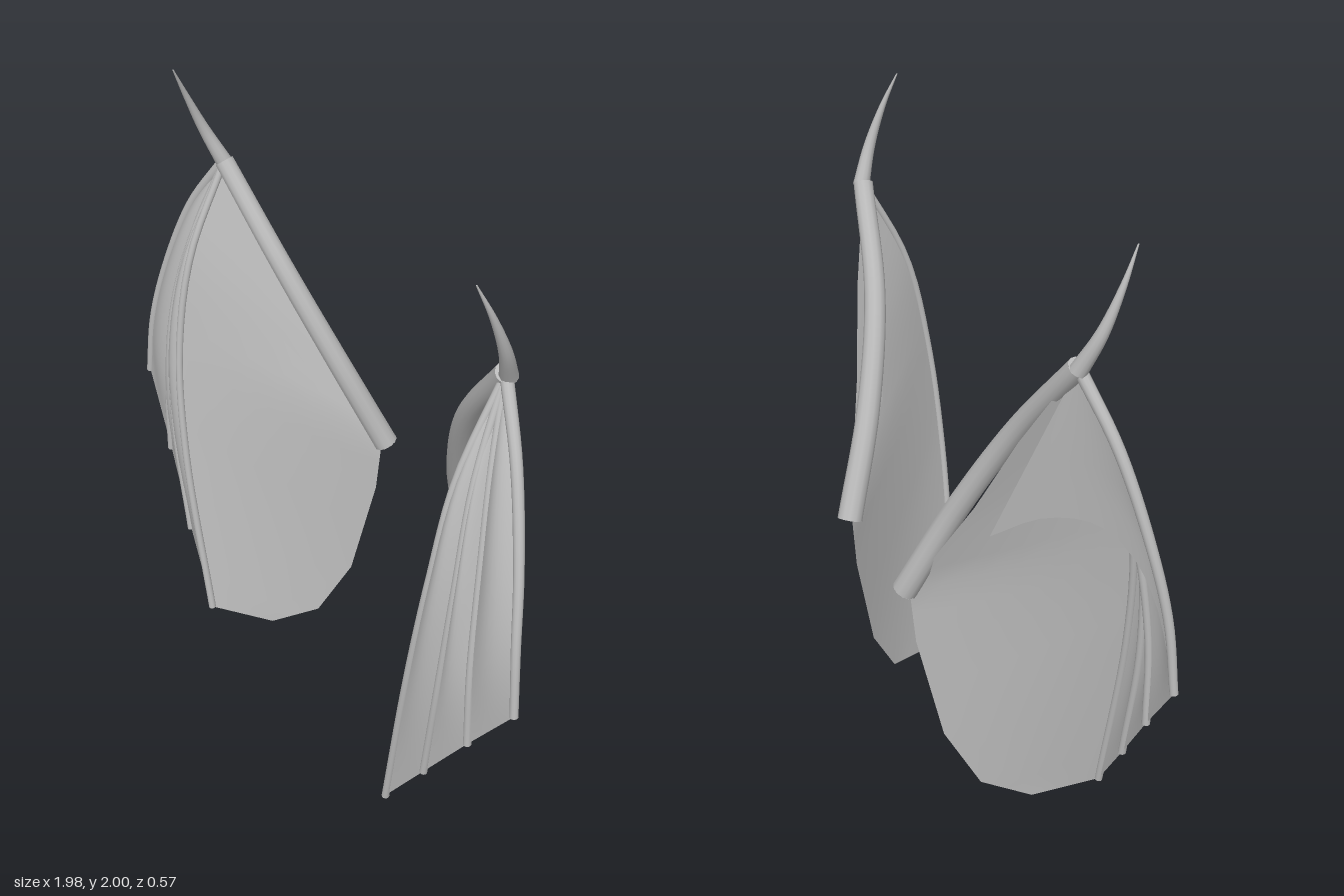
import * as THREE from 'three';

const skin = new THREE.MeshStandardMaterial({ color: 0xbababa, side: THREE.DoubleSide });
skin.name = 'greySkin';

const APEX = [0.675, 1.68, 0.03];
const ARM = [[0.207, 0.78, -0.245], [0.315, 1.1, -0.125], [0.465, 1.4, -0.03], APEX];
const CLAW = [[0.68, 1.67, 0.025], [0.713, 1.78, 0.07], [0.718, 1.9, 0.12], [0.705, 2.0, 0.165]];

// Finger bones, outermost first
const FINGERS = [
  [APEX, [0.8, 1.49, 0.085], [0.9, 1.23, 0.14], [0.95, 1.02, 0.175], [0.98, 0.8, 0.19]],
  [APEX, [0.735, 1.45, 0.11], [0.785, 1.17, 0.17], [0.815, 0.85, 0.21], [0.825, 0.57, 0.215]],
  [APEX, [0.715, 1.4, 0.15], [0.74, 1.1, 0.215], [0.725, 0.75, 0.245], [0.67, 0.33, 0.245]],
  [APEX, [0.67, 1.4, 0.17], [0.66, 1.08, 0.24], [0.615, 0.7, 0.27], [0.515, 0.09, 0.268]],
];

// Free edge of the large inner membrane, from the wing tip down to the lowest corner
const INNER_EDGE = [
  APEX, [0.535, 1.41, -0.058], [0.41, 1.15, -0.122], [0.315, 0.97, -0.18], [0.215, 0.78, -0.235],
  [0.225, 0.59, -0.22], [0.27, 0.24, -0.15], [0.33, 0.05, -0.05], [0.41, 0.005, 0.09],
];

// Arched lower edge of the rear membrane, from outer finger tip inward
const REAR_ARCH = [
  [0.98, 0.8, 0.19], [0.9, 1.05, 0.165], [0.82, 1.17, 0.13],
  [0.72, 1.22, 0.08], [0.58, 1.18, 0.0], [0.45, 1.07, -0.095],
];

const vec = (p) => new THREE.Vector3(...p);
const curveOf = (points) => new THREE.CatmullRomCurve3(points.map(vec));

// Surface from a rule at(u, v) -> Vector3
function sheet(name, cols, rows, side, at) {
  const position = [], index = [];
  for (let j = 0; j <= rows; j++) {
    for (let i = 0; i <= cols; i++) {
      const p = at(i / cols, j / rows);
      position.push(p.x * side, p.y, p.z);
      if (i < cols && j < rows) {
        const a = j * (cols + 1) + i, b = a + cols + 1;
        index.push(a, b, a + 1, b, b + 1, a + 1);
      }
    }
  }
  const geometry = new THREE.BufferGeometry();
  geometry.setAttribute('position', new THREE.Float32BufferAttribute(position, 3));
  geometry.setIndex(index);
  geometry.computeVertexNormals();
  const mesh = new THREE.Mesh(geometry, skin);
  mesh.name = name;
  return mesh;
}

// Round bone that tapers from r0 to r1, with flat ends
function bone(name, points, side, r0, r1, segments = 24, sides = 12) {
  const curve = curveOf(points.map(([x, y, z]) => [x * side, y, z]));
  const geometry = new THREE.TubeGeometry(curve, segments, 1, sides);
  const pos = geometry.attributes.position;
  const p = new THREE.Vector3();
  for (let k = 0; k < pos.count; k++) {
    const t = Math.floor(k / (sides + 1)) / segments;
    const centre = curve.getPointAt(t);
    p.fromBufferAttribute(pos, k).sub(centre).multiplyScalar(r0 + (r1 - r0) * t).add(centre);
    pos.setXYZ(k, p.x, p.y, p.z);
  }
  const group = new THREE.Group();
  group.name = name;
  const shaft = new THREE.Mesh(geometry, skin);
  shaft.name = name + 'Shaft';
  group.add(shaft);
  for (const [t, r, dir] of [[0, r0, -1], [1, r1, 1]]) {
    const cap = new THREE.Mesh(new THREE.CircleGeometry(r, sides), skin);
    cap.name = name + 'End';
    cap.position.copy(curve.getPointAt(t));
    const normal = curve.getTangentAt(t).multiplyScalar(dir);
    cap.quaternion.setFromUnitVectors(new THREE.Vector3(0, 0, 1), normal);
    group.add(cap);
  }
  return group;
}

function wing(name, side) {
  const group = new THREE.Group();
  group.name = name;
  const curves = FINGERS.map(curveOf);

  // Bones and claw
  group.add(bone('arm', ARM, side, 0.039, 0.03));
  group.add(bone('claw', CLAW, side, 0.026, 0.002));
  FINGERS.forEach((f, i) => group.add(bone('finger' + (i + 1), f, side, i ? 0.011 : 0.018, 0.012)));

  // Membranes between neighbouring fingers, billowing mid-length with straight lower edges
  for (let i = 0; i < 3; i++) {
    group.add(sheet('fingerMembrane' + (i + 1), 8, 20, side, (u, v) => {
      const p = curves[i].getPoint(v).lerp(curves[i + 1].getPoint(v), u);
      p.z += 0.025 * Math.sin(Math.PI * u) * Math.sin(Math.PI * v);
      return p;
    }));
  }

  // Large membrane between the last finger and the arm
  const n = INNER_EDGE.length - 1;
  group.add(sheet('innerMembrane', 6, n * 2, side, (u, v) => {
    const k = Math.min(Math.floor(v * n), n - 1);
    const edge = vec(INNER_EDGE[k]).lerp(vec(INNER_EDGE[k + 1]), v * n - k);
    return edge.lerp(curves[3].getPoint(v), u);
  }));

  // Rear membrane hanging from the wing tip, following the outer finger
  const arch = curveOf(REAR_ARCH);
  const top = vec(APEX), tip = vec(REAR_ARCH[0]);
  group.add(sheet('rearMembrane', 16, 10, side, (u, v) => {
    const bow = curves[0].getPoint(v).sub(top.clone().lerp(tip, v));
    return top.clone().lerp(arch.getPoint(u), v).addScaledVector(bow, (1 - u) ** 2);
  }));

  // Small fold standing out of the inner membrane beside the arm
  const fold = [[0.45, 1.13, -0.02], [0.42, 1.05, -0.03], [0.31, 0.92, -0.14]].map(vec);
  group.add(sheet('innerFold', 1, 1, side, (u, v) => fold[0].clone().lerp(fold[1], u).lerp(fold[2], v)));
  return group;
}

export function createModel() {
  const model = new THREE.Group();
  model.name = 'wings';
  model.add(wing('leftWing', 1), wing('rightWing', -1));
  return model;
}
